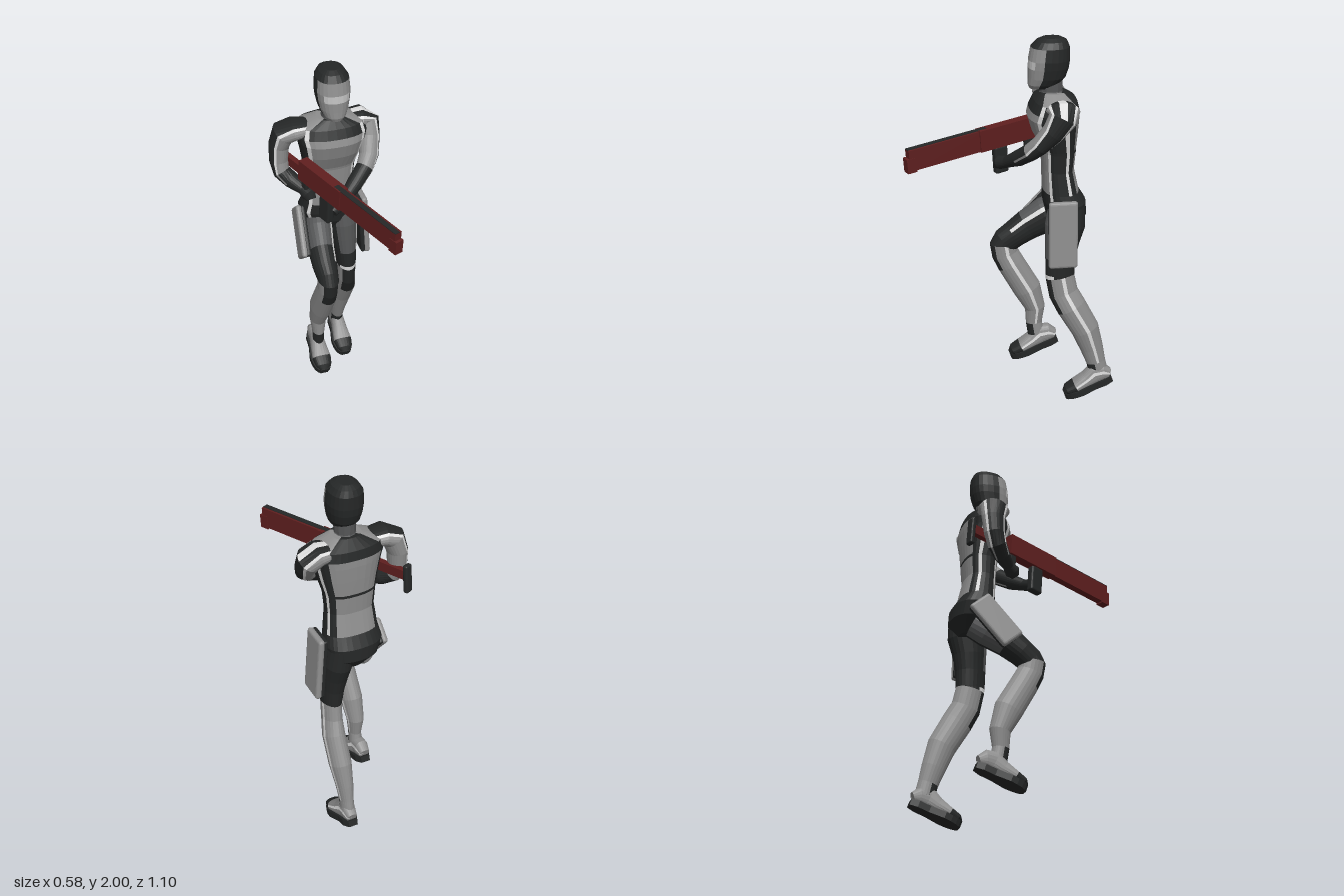
import * as THREE from 'three';
import { RoundedBoxGeometry } from 'three/addons/geometries/RoundedBoxGeometry.js';

const mat = (name, color) => {
  const m = new THREE.MeshStandardMaterial({ color, flatShading: true });
  m.name = name;
  return m;
};
const black = mat('black', 0x252727), grey = mat('grey', 0x8e8e8e), white = mat('white', 0xdedede);
const darkGrey = mat('dark grey', 0x565758), visor = mat('visor grey', 0xc4c4c4), red = mat('dark red', 0x5f1f1f);
const mats = [black, grey, white, darkGrey, visor, red];

// Skin through oval rings [x, y, z, halfWidth, halfDepth]; paint(ring, angle) picks a material per face.
// With side = x and an upward path, angle 0 is the front and 90 is +x.
function loft(name, rings, { n = 16, side = [1, 0, 0], power = 1, flat = false, paint = () => black } = {}) {
  const pos = [], lists = mats.map(() => []);
  const P = rings.map(r => new THREE.Vector3(r[0], r[1], r[2]));
  const bend = c => Math.sign(c) * Math.abs(c) ** power;
  rings.forEach((r, i) => {
    const t = P[Math.min(i + 1, P.length - 1)].clone().sub(P[Math.max(i - 1, 0)]).normalize();
    if (flat) t.set(0, 1, 0);
    const u = new THREE.Vector3(...side);
    u.addScaledVector(t, -u.dot(t)).normalize();
    const v = u.clone().cross(t);
    for (let j = 0; j < n; j++) {
      const a = (j / n) * Math.PI * 2;
      const p = P[i].clone().addScaledVector(u, r[3] * bend(Math.sin(a))).addScaledVector(v, r[4] * bend(Math.cos(a)));
      pos.push(p.x, p.y, p.z);
    }
  });
  const last = rings.length - 1, c0 = rings.length * n;
  pos.push(...P[0].toArray(), ...P[last].toArray());
  for (let j = 0; j < n; j++) {
    const k = (j + 1) % n;
    let deg = ((j + 0.5) / n) * 360;
    if (deg > 180) deg -= 360;
    for (let i = 0; i < last; i++) {
      const a = i * n + j, b = i * n + k, c = b + n, d = a + n;
      lists[mats.indexOf(paint(i, deg))].push(a, b, c, a, c, d);
    }
    lists[mats.indexOf(paint(0, deg))].push(c0, k, j);
    lists[mats.indexOf(paint(last - 1, deg))].push(c0 + 1, last * n + j, last * n + k);
  }
  let g = new THREE.BufferGeometry();
  g.setAttribute('position', new THREE.Float32BufferAttribute(pos, 3));
  g.setIndex(lists.flat());
  let start = 0;
  lists.forEach((l, m) => {
    if (l.length) g.addGroup(start, l.length, m);
    start += l.length;
  });
  g = g.toNonIndexed();
  g.computeVertexNormals();
  const mesh = new THREE.Mesh(g, mats);
  mesh.name = name;
  return mesh;
}

function box(name, material, size, at, radius = 0) {
  const g = radius ? new RoundedBoxGeometry(...size, 2, radius) : new THREE.BoxGeometry(...size);
  const m = new THREE.Mesh(g, material);
  m.name = name;
  m.position.set(...at);
  return m;
}

// Suit leg: striped calf, dark knee, panelled thigh
function leg(name, rings, s) {
  return loft(name, rings, {
    n: 24,
    paint: (i, a) => {
      const f = Math.abs(a);
      if (i === 0) return f < 70 ? black : grey;
      if (i < 6) {
        if (i >= 4 && f < 50) return black;
        return Math.abs(a - 97.5) < 5 ? white : grey;
      }
      if (i === 6) return f < 60 && s > 0 ? white : black;
      if (i === 7) return black;
      if (Math.abs(a - 52.5) < 5) return white;
      if (i === 8 && s < 0) return black;
      return f < 45 || (a < 0 && s < 0) ? darkGrey : black;
    },
  });
}

// Boot with heel at the origin and toe toward +z
function boot(name, at) {
  const g = new THREE.Group();
  g.name = name;
  const shape = new THREE.Shape();
  shape.moveTo(-0.025, 0);
  shape.lineTo(0.025, 0);
  shape.lineTo(0.042, 0.04);
  shape.lineTo(0.042, 0.1);
  shape.lineTo(0.058, 0.18);
  shape.quadraticCurveTo(0.055, 0.26, 0.02, 0.275);
  shape.lineTo(-0.02, 0.275);
  shape.quadraticCurveTo(-0.055, 0.26, -0.058, 0.18);
  shape.lineTo(-0.042, 0.1);
  shape.lineTo(-0.042, 0.04);
  const sole = new THREE.Mesh(new THREE.ExtrudeGeometry(shape, { depth: 0.034, bevelEnabled: false, curveSegments: 4 }), black);
  sole.name = 'sole';
  sole.geometry.rotateX(Math.PI / 2).translate(0, 0.034, 0);
  const profile = [[0.004, 0.055, 0.028], [0.035, 0.1, 0.037], [0.08, 0.115, 0.037], [0.13, 0.085, 0.043],
    [0.2, 0.06, 0.052], [0.25, 0.047, 0.043], [0.27, 0.025, 0.022]];
  const upper = loft('bootUpper', profile.map(([z, h, w]) => [0, 0.02 + h / 2, z, w, h / 2]), {
    n: 24, power: 0.8,
    paint: (i, a) => (i > 3 ? black : Math.abs(a - 97.5) < 5 ? white : grey),
  });
  g.add(sole, upper);
  g.position.set(...at);
  g.rotation.x = 0.345;
  return g;
}

// Arm from hand to shoulder: dark outside with a thin seam, grey inside
function arm(name, rings, s) {
  return loft(name, rings, {
    n: 24, side: [0, 0, 1],
    paint: (i, a) => {
      const d = s > 0 ? 180 - Math.abs(a) : Math.abs(a);
      if (i < 3) return black;
      if (i === 3) return Math.abs(d - 52.5) < 5 ? grey : black;
      if (i > 6 && s > 0 && d < 15) return white;
      return d < 45 ? black : d < 60 ? white : grey;
    },
  });
}

// Thigh pad: grey outer shell on a dark inner plate
function pad(name, [w, h, d], at, rotation, s) {
  const g = new THREE.Group();
  g.name = name;
  g.add(box('padShell', grey, [w * 0.65, h, d], [s * w * 0.175, 0, 0], 0.015),
    box('padBacking', black, [w * 0.5, h * 0.97, d * 0.96], [-s * w * 0.25, 0, 0], 0.01));
  g.position.set(...at);
  g.rotation.set(...rotation);
  return g;
}

export function createModel() {
  const model = new THREE.Group();
  model.name = 'armouredRunner';

  // Torso and hips
  const torso = [[0.03, 1.0, -0.28, 0.05, 0.06], [0.03, 1.07, -0.285, 0.13, 0.105], [0.025, 1.14, -0.275, 0.152, 0.11],
    [0.025, 1.2, -0.255, 0.14, 0.092], [0.025, 1.32, -0.24, 0.127, 0.08], [0.027, 1.42, -0.24, 0.135, 0.088],
    [0.027, 1.435, -0.238, 0.138, 0.09], [0.03, 1.52, -0.22, 0.157, 0.115], [0.03, 1.6, -0.21, 0.175, 0.13],
    [0.03, 1.638, -0.215, 0.185, 0.125], [0.03, 1.685, -0.22, 0.172, 0.108], [0.03, 1.725, -0.21, 0.075, 0.065]];
  model.add(loft('torso', torso, {
    n: 32, power: 0.8, flat: true,
    paint: (i, a) => {
      const f = Math.abs(a);
      if (i === 10) return f > 40 && f < 135 ? grey : black;
      if (i > 0 && Math.abs(f - 50.6) < 3) return white;
      if (i < 3 || i > 8) return black;
      if (Math.abs(f - 106.9) < 3) return white;
      if (f < 45) return grey;
      return f > 135 && i !== 5 ? grey : black;
    },
  }));

  // Neck and head
  model.add(loft('neck', [[0.03, 1.67, -0.21, 0.075, 0.075], [0.03, 1.73, -0.2, 0.052, 0.058], [0.03, 1.8, -0.195, 0.055, 0.065]],
    { n: 12, flat: true, paint: () => darkGrey }));
  const head = [[0.03, 1.745, -0.15, 0.04, 0.06], [0.03, 1.765, -0.16, 0.058, 0.078], [0.03, 1.8, -0.177, 0.074, 0.094],
    [0.03, 1.85, -0.185, 0.084, 0.102], [0.03, 1.89, -0.188, 0.088, 0.104], [0.03, 1.955, -0.193, 0.083, 0.097],
    [0.03, 1.985, -0.2, 0.064, 0.077], [0.03, 2.0, -0.2, 0.038, 0.048]];
  model.add(loft('head', head, {
    n: 24, power: 0.85, flat: true,
    paint: (i, a) => {
      const f = Math.abs(a);
      if (i === 3 && f < 45) return visor;
      return f < 75 && i < 5 ? grey : black;
    },
  }));

  // Legs: left pushes off behind, right is raised in front
  model.add(leg('leftLeg', [[0.135, 0.15, -0.465, 0.036, 0.052], [0.135, 0.215, -0.45, 0.036, 0.052], [0.135, 0.3, -0.425, 0.045, 0.062],
    [0.14, 0.42, -0.385, 0.058, 0.075], [0.14, 0.56, -0.307, 0.057, 0.08], [0.13, 0.64, -0.265, 0.05, 0.078],
    [0.125, 0.74, -0.245, 0.051, 0.076], [0.125, 0.75, -0.245, 0.052, 0.077], [0.12, 0.84, -0.247, 0.06, 0.08],
    [0.115, 0.93, -0.255, 0.072, 0.09], [0.11, 1.02, -0.27, 0.08, 0.105], [0.1, 1.13, -0.28, 0.072, 0.095]], 1));
  model.add(leg('rightLeg', [[-0.07, 0.3, -0.152, 0.034, 0.045], [-0.07, 0.37, -0.14, 0.033, 0.044], [-0.07, 0.46, -0.145, 0.045, 0.055],
    [-0.065, 0.58, -0.1, 0.058, 0.076], [-0.06, 0.74, -0.01, 0.056, 0.074], [-0.06, 0.8, 0.02, 0.053, 0.072],
    [-0.06, 0.86, 0.03, 0.055, 0.072], [-0.06, 0.87, 0.022, 0.056, 0.073], [-0.06, 0.91, -0.03, 0.065, 0.075],
    [-0.057, 0.96, -0.1, 0.07, 0.085], [-0.045, 1.02, -0.2, 0.078, 0.1], [-0.03, 1.06, -0.27, 0.07, 0.095]], -1));
  model.add(boot('leftBoot', [0.137, 0.093, -0.545]), boot('rightBoot', [-0.073, 0.245, -0.275]));

  // Thigh pads
  model.add(pad('leftThighPad', [0.052, 0.36, 0.15], [0.206, 1.01, -0.243], [0, 0, 0.06], 1),
    pad('rightThighPad', [0.05, 0.28, 0.135], [-0.14, 1.03, -0.195], [-0.72, 0, -0.06], -1));

  // Arms
  model.add(arm('leftArm', [[-0.045, 1.32, 0.07, 0.02, 0.025], [-0.02, 1.335, 0.05, 0.035, 0.035], [0.03, 1.355, 0.02, 0.03, 0.03],
    [0.1, 1.4, -0.03, 0.042, 0.042], [0.17, 1.455, -0.08, 0.045, 0.045], [0.205, 1.5, -0.12, 0.047, 0.05],
    [0.225, 1.57, -0.18, 0.058, 0.055], [0.23, 1.635, -0.225, 0.072, 0.063], [0.19, 1.665, -0.235, 0.085, 0.05],
    [0.12, 1.665, -0.235, 0.07, 0.04]], 1));
  model.add(arm('rightArm', [[-0.115, 1.315, -0.08, 0.02, 0.025], [-0.12, 1.34, -0.1, 0.04, 0.04], [-0.145, 1.355, -0.13, 0.03, 0.03],
    [-0.19, 1.385, -0.18, 0.043, 0.043], [-0.23, 1.42, -0.22, 0.05, 0.045], [-0.24, 1.48, -0.24, 0.055, 0.048],
    [-0.235, 1.57, -0.245, 0.062, 0.052], [-0.215, 1.64, -0.235, 0.075, 0.06], [-0.165, 1.665, -0.22, 0.085, 0.05],
    [-0.09, 1.665, -0.22, 0.07, 0.04]], -1));

  // Rifle, muzzle at its origin and barrel toward +z
  const rifle = new THREE.Group();
  rifle.name = 'rifle';
  rifle.add(
    box('barrelShroud', red, [0.04, 0.11, 0.44], [0, 0.005, -0.22]),
    box('receiver', red, [0.054, 0.115, 0.32], [0, 0.005, -0.56]),
    box('muzzleBlock', red, [0.046, 0.075, 0.05], [0, -0.02, -0.01]),
    box('topRail', black, [0.028, 0.004, 0.45], [-0.006, 0.061, -0.225]),
    box('stock', red, [0.03, 0.05, 0.26], [0.004, -0.01, -0.84]),
    box('buttPlate', black, [0.045, 0.155, 0.028], [0.008, -0.025, -0.965], 0.01),
    box('foregrip', black, [0.042, 0.15, 0.078], [0, -0.125, -0.52], 0.012),
    box('rearGrip', black, [0.03, 0.1, 0.045], [0, -0.09, -0.69], 0.01),
  );
  rifle.rotation.set(0.075, 0.397, 0, 'YXZ');
  rifle.position.set(0.133, 1.422, 0.53);
  model.add(rifle);
  return model;
}
